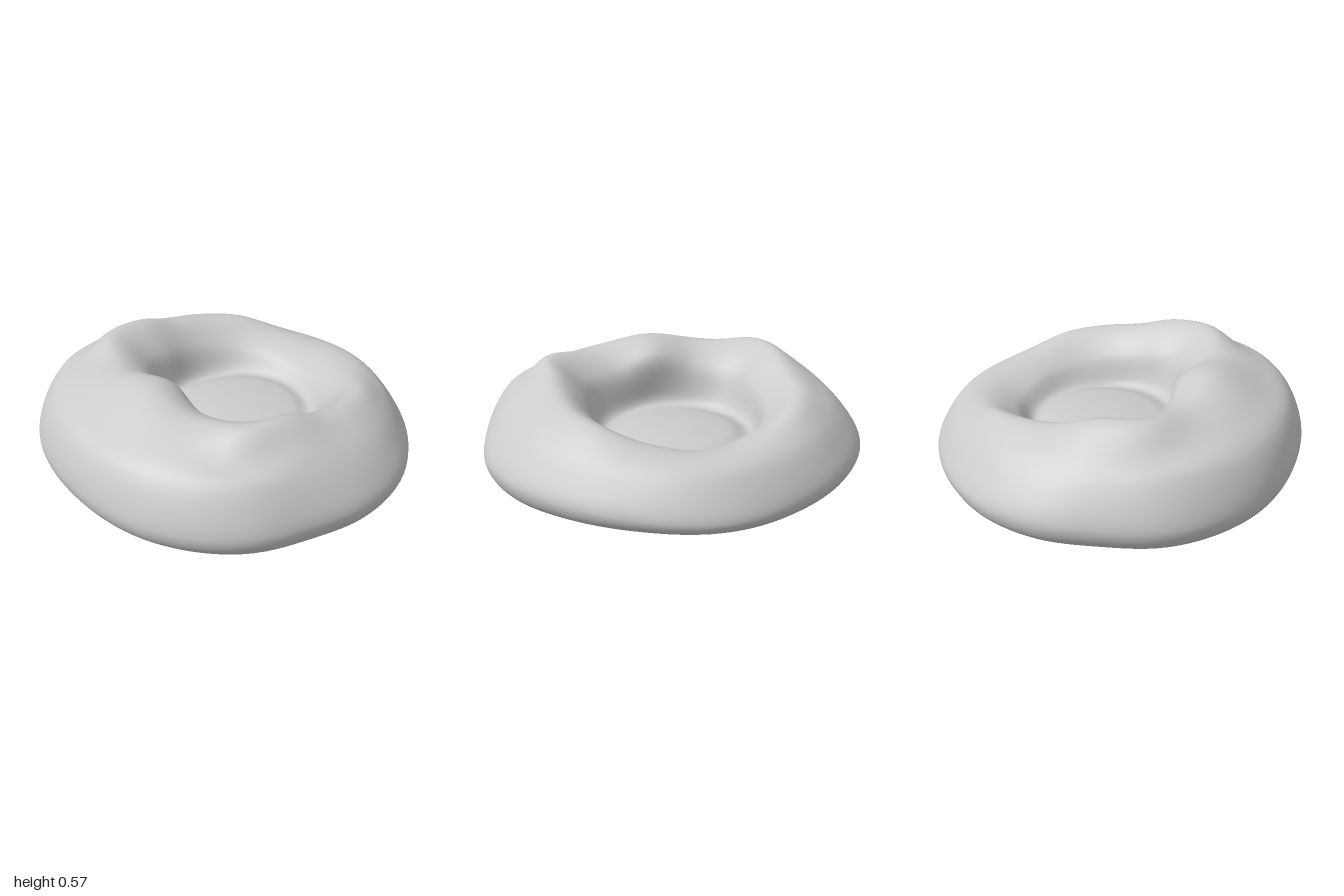
import * as THREE from 'three';

// Half of the cushion in nine cross-sections, from front to back.
// Each row holds radius, height pairs: widest edge, lower shoulder, upper shoulder,
// crest, inner lip, foot of the inner wall.
const SECTIONS = [
  [1.05, 0.15, 0.98, 0.36, 0.85, 0.45, 0.58, 0.57, 0.41, 0.49, 0.41, 0.22],
  [1.075, 0.15, 0.985, 0.37, 0.85, 0.455, 0.62, 0.515, 0.46, 0.42, 0.40, 0.21],
  [1.07, 0.15, 0.97, 0.37, 0.87, 0.43, 0.72, 0.545, 0.51, 0.42, 0.40, 0.20],
  [1.015, 0.15, 0.93, 0.33, 0.81, 0.445, 0.65, 0.535, 0.48, 0.40, 0.40, 0.20],
  [1.00, 0.15, 0.92, 0.29, 0.79, 0.405, 0.61, 0.475, 0.47, 0.36, 0.40, 0.19],
  [0.965, 0.14, 0.89, 0.27, 0.78, 0.38, 0.62, 0.45, 0.47, 0.34, 0.39, 0.19],
  [0.91, 0.12, 0.85, 0.24, 0.76, 0.35, 0.63, 0.425, 0.47, 0.32, 0.38, 0.20],
  [0.88, 0.10, 0.825, 0.22, 0.74, 0.315, 0.61, 0.36, 0.46, 0.30, 0.37, 0.20],
  [0.89, 0.08, 0.835, 0.21, 0.75, 0.305, 0.61, 0.325, 0.45, 0.275, 0.36, 0.205],
];
const AROUND = 128, ALONG = 96, CENTRE_Z = -0.08;

// Smooth interpolation between the sections, mirrored at the front and the back;
// the sections lie closer together at the sides than at the front and the back
function sectionAt(angle) {
  const last = SECTIONS.length - 1;
  const half = Math.min(angle, 2 * Math.PI - angle);
  const t = (half / Math.PI) * last - 0.35 * Math.sin(2 * half);
  const k = Math.min(Math.floor(t), last - 1), f = t - k;
  const row = (i) => SECTIONS[i < 0 ? -i : i > last ? 2 * last - i : i];
  const [a, b, c, d] = [row(k - 1), row(k), row(k + 1), row(k + 2)];
  return b.map((p, i) => p + 0.5 * f * (c[i] - a[i]
    + f * (2 * a[i] - 5 * p + 4 * c[i] - d[i] + f * (3 * (p - c[i]) + d[i] - a[i]))));
}

// Full profile from the middle of the base, over the rim, to the middle of the gently domed seat
function profileAt(angle) {
  const s = sectionAt(angle), pts = [];
  const add = (r, y) => pts.push(new THREE.Vector3(r, y, 0));
  add(0, 0.005);
  add(s[0] - 0.2, 0.005);
  add(s[0] - 0.09, 0.01);
  add(s[0] - 0.025, s[1] * 0.4);
  for (let i = 0; i < s.length; i += 2) add(s[i], s[i + 1]);
  add(0.28, 0.222);
  add(0.14, 0.24);
  add(0, 0.245);
  return new THREE.CatmullRomCurve3(pts, false, 'centripetal').getPoints(ALONG);
}

function cushionGeometry() {
  const position = [], index = [];
  for (let i = 0; i < AROUND; i++) {
    const a = (i / AROUND) * Math.PI * 2;
    for (const p of profileAt(a)) {
      position.push(p.x * Math.sin(a), Math.max(p.y, 0), CENTRE_Z + p.x * Math.cos(a));
    }
  }
  const id = (i, j) => (i % AROUND) * (ALONG + 1) + j;
  for (let i = 0; i < AROUND; i++) {
    for (let j = 0; j < ALONG; j++) {
      if (j > 0) index.push(id(i, j), id(i + 1, j), id(i + 1, j + 1));
      if (j < ALONG - 1) index.push(id(i, j), id(i + 1, j + 1), id(i, j + 1));
    }
  }
  const g = new THREE.BufferGeometry();
  g.setAttribute('position', new THREE.Float32BufferAttribute(position, 3));
  g.setIndex(index);
  g.computeVertexNormals();
  return g;
}

export function createModel() {
  const group = new THREE.Group();
  group.name = 'softRoundCushion';
  const cushion = new THREE.Mesh(cushionGeometry(), new THREE.MeshStandardMaterial({ color: 0xcccccc }));
  cushion.name = 'cushionBody';
  group.add(cushion);
  return group;
}
